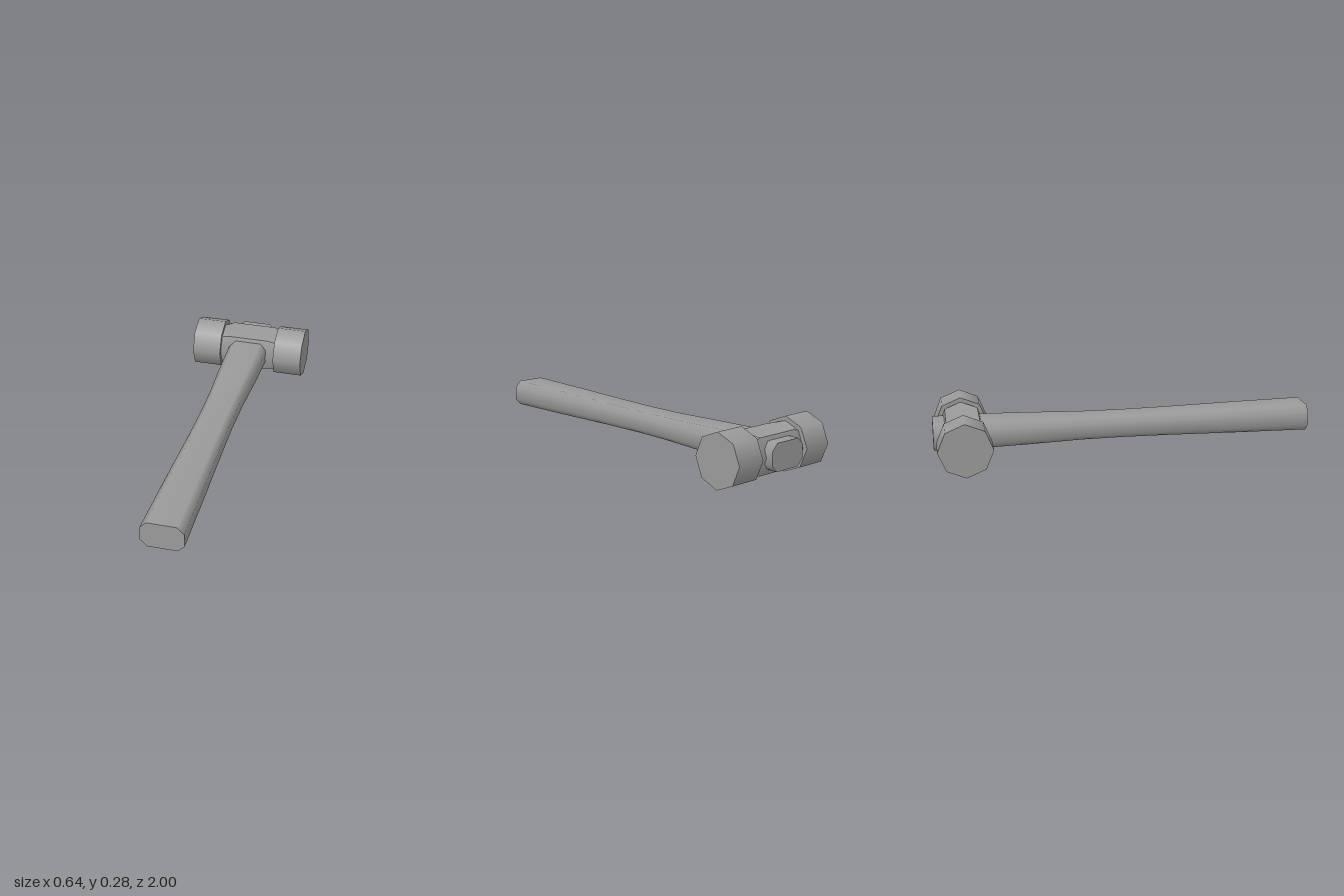
import * as THREE from 'three';
import { mergeGeometries } from 'three/addons/utils/BufferGeometryUtils.js';

const HEAD_Y = 0.141, HEAD_Z = -0.846;

function buildGeometry(pos, idx) {
  const g = new THREE.BufferGeometry();
  g.setAttribute('position', new THREE.Float32BufferAttribute(pos, 3));
  g.setIndex(idx);
  g.computeVertexNormals();
  return g;
}

// Smooth skin between sections along +z; each is {z, pts: [[x, y], ...]} counterclockwise.
function loft(sections, closed) {
  const n = sections[0].pts.length, idx = [];
  const pos = sections.flatMap(s => s.pts.flatMap(([x, y]) => [x, y, s.z]));
  for (let r = 0; r < sections.length - 1; r++) {
    for (let i = 0; i < (closed ? n : n - 1); i++) {
      const a = r * n + i, b = r * n + (i + 1) % n, c = b + n, d = a + n;
      // alternate the diagonals so the flared corners fold symmetrically
      if ((i + (r >> 1)) % 2) idx.push(a, b, c, a, c, d);
      else idx.push(a, b, d, b, c, d);
    }
  }
  return buildGeometry(pos, idx);
}

// Flat end of a section, facing +z or -z
function cap({ z, pts }, facing) {
  const idx = [];
  for (let i = 1; i < pts.length - 1; i++) {
    if (facing > 0) idx.push(0, i, i + 1);
    else idx.push(0, i + 1, i);
  }
  return buildGeometry(pts.flatMap(([x, y]) => [x, y, z]), idx);
}

// Rectangle with cut corners
function chamferedRect(w, h) {
  const c = h * 0.49;
  return [[w, -h + c], [w, h - c], [w - c, h], [-w + c, h],
    [-w, h - c], [-w, -h + c], [-w + c, -h], [w - c, -h]];
}

export function createModel() {
  const group = new THREE.Group();
  const material = new THREE.MeshStandardMaterial({ color: 0x9a9a9a });
  const add = (name, geometry, x, y, z) => {
    const mesh = new THREE.Mesh(geometry, material);
    mesh.name = name;
    mesh.position.set(x, y, z);
    group.add(mesh);
    return mesh;
  };

  // Handle: waisted in the middle, passing through the head
  const sections = [
    [-1, 0.109, 0.07], [-0.7, 0.109, 0.07], [-0.5, 0.104, 0.066], [-0.22, 0.093, 0.059],
    [0, 0.091, 0.058], [0.23, 0.094, 0.06], [0.63, 0.103, 0.066], [1, 0.109, 0.07],
  ].map(([z, w, h]) => ({ z, pts: chamferedRect(w, h) }));
  const handle = mergeGeometries([
    loft(sections, true), cap(sections[0], -1), cap(sections.at(-1), 1),
  ]);
  add('handle', handle, 0, 0.144, 0);

  // Head body: octagonal ends, top and bottom flattened between them
  const octagon = [], flattened = [];
  for (let i = 0; i < 8; i++) {
    const a = i * Math.PI / 4, c = Math.cos(a), s = Math.sin(a);
    octagon.push([0.117 * c, 0.117 * s]);
    flattened.push([(i % 2 ? 0.122 : 0.117) * c, Math.abs(s) < 0.1 ? 0 : Math.sign(s) * 0.094]);
  }
  // Four smooth panels (top, back, bottom, front) meeting at hard edges
  const panels = [1, 3, 5, 7].map(k => {
    const pick = ring => [0, 1, 2].map(j => ring[(k + j) % 8]);
    return loft([
      { z: -0.16, pts: pick(octagon) }, { z: -0.12, pts: pick(flattened) },
      { z: 0.12, pts: pick(flattened) }, { z: 0.16, pts: pick(octagon) },
    ], false);
  });
  add('headBody', mergeGeometries(panels), 0, HEAD_Y, HEAD_Z).rotation.y = Math.PI / 2;

  // Striking faces: one octagonal drum at each end
  for (const side of [-1, 1]) {
    const drum = new THREE.CylinderGeometry(0.141, 0.141, 0.162, 8);
    const name = side > 0 ? 'leftStrikingFace' : 'rightStrikingFace';
    add(name, drum, side * 0.239, HEAD_Y, HEAD_Z).rotation.z = Math.PI / 2;
  }
  return group;
}
